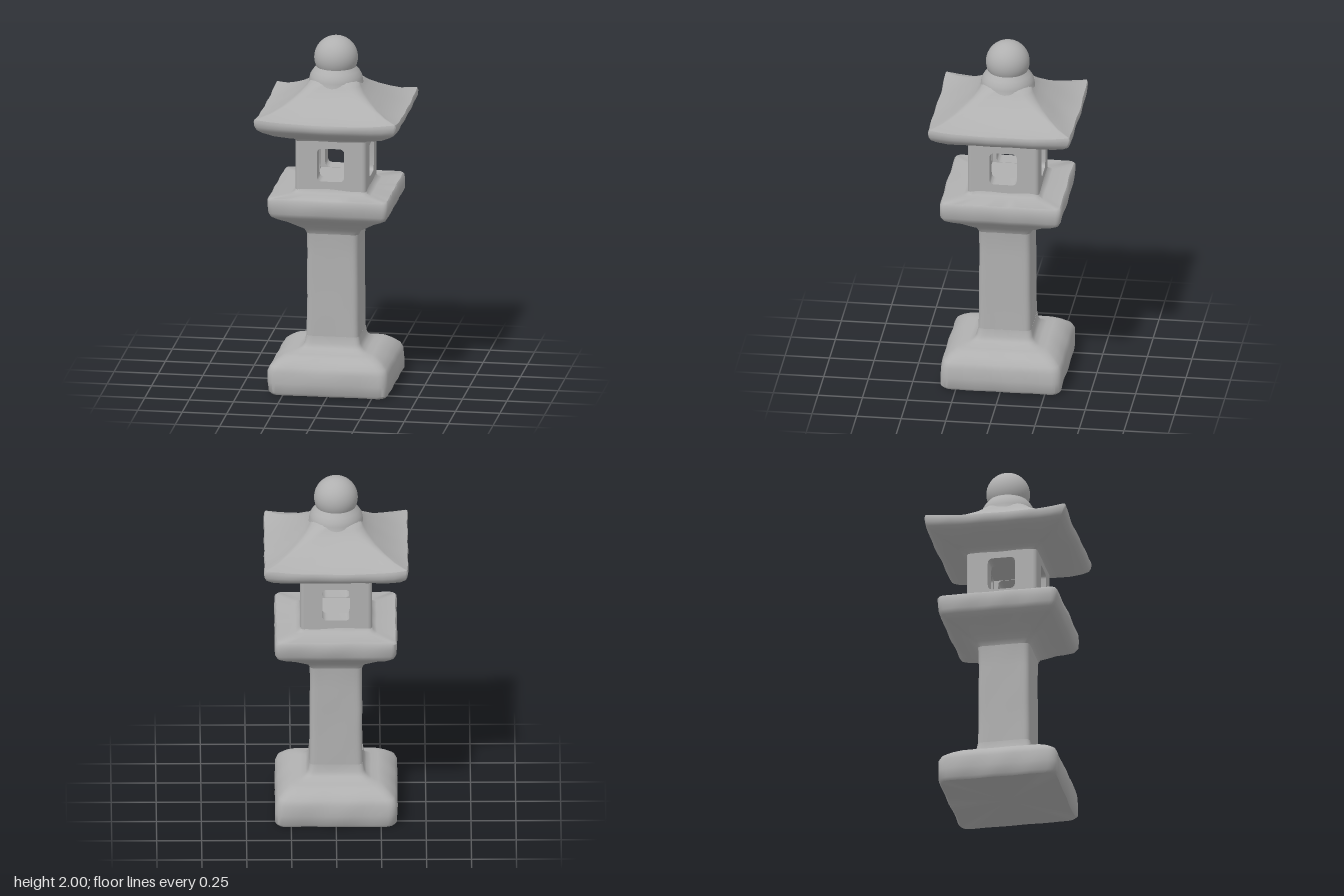
import * as THREE from 'three';
import { toCreasedNormals } from 'three/addons/utils/BufferGeometryUtils.js';

const stone = new THREE.MeshStandardMaterial({ color: 0xb0b0b0 });
stone.name = 'grey stone';

// Slight unevenness of hand-cut stone
const wobble = (x, y, z) => 1 + 0.006 * (Math.sin(23 * x + 17 * y + 1) + Math.sin(29 * z - 19 * y + 11 * x));

// One rounded-square ring; lift raises it towards the corners
function ring(h, y, r, lift = 0) {
  const pts = [], e = h - r, n = 12, arc = 4;
  for (let k = 0; k < 4; k++) {
    const c = Math.cos(k * Math.PI / 2), s = Math.sin(k * Math.PI / 2);
    const add = (u, v) => {
      const x = u * c - v * s, z = -(u * s + v * c), w = wobble(x, y, z);
      pts.push([x * w, y + lift * Math.abs(v / h) ** 3, z * w]);
    };
    for (let i = 0; i <= n; i++) add(h, e * (2 * i / n - 1));
    for (let i = 1; i < arc; i++) {
      const a = i / arc * Math.PI / 2;
      add(e + r * Math.cos(a), e + r * Math.sin(a));
    }
  }
  return pts;
}

// Closed solid through rings given as [half width, y, corner radius, lift]
function loft(rows) {
  const rings = rows.map(row => ring(...row)), n = rings[0].length;
  const pos = rings.flat(2), index = [], last = rings.length - 1;
  for (let j = 0; j < last; j++) for (let i = 0; i < n; i++) {
    const a = j * n + i, b = j * n + (i + 1) % n;
    index.push(a, b, b + n, a, b + n, a + n);
  }
  const bottom = pos.length / 3, top = bottom + 1;
  pos.push(0, rows[0][1], 0, 0, rows[last][1], 0);
  for (let i = 0; i < n; i++) {
    const k = (i + 1) % n;
    index.push(bottom, k, i, top, last * n + i, last * n + k);
  }
  const g = new THREE.BufferGeometry();
  g.setAttribute('position', new THREE.Float32BufferAttribute(pos, 3));
  g.setIndex(index);
  return toCreasedNormals(g, 0.85);
}

// Chamber wall with a rounded window, mitred at its ends
function wallGeometry() {
  const w = 0.177, y0 = 1.13, y1 = 1.47, t = 0.1;
  const s = new THREE.Shape();
  s.moveTo(-w, y0).lineTo(w, y0).lineTo(w, y1).lineTo(-w, y1).closePath();
  const a = 0.077, b = 1.21, c = 1.4, r = 0.03, p = new THREE.Path();
  p.moveTo(-a + r, b).lineTo(a - r, b).quadraticCurveTo(a, b, a, b + r);
  p.lineTo(a, c - r).quadraticCurveTo(a, c, a - r, c);
  p.lineTo(-a + r, c).quadraticCurveTo(-a, c, -a, c - r);
  p.lineTo(-a, b + r).quadraticCurveTo(-a, b, -a + r, b);
  s.holes.push(p);
  const g = new THREE.ExtrudeGeometry(s, { depth: t, bevelEnabled: false, curveSegments: 6 });
  const q = g.attributes.position;
  for (let i = 0; i < q.count; i++) {
    const x = q.getX(i);
    if (Math.abs(x) > 0.15 && q.getZ(i) < 0.01) q.setX(i, Math.sign(x) * 0.1);
  }
  g.translate(0, 0, 0.1);
  return toCreasedNormals(g, 0.6);
}

export function createModel() {
  const model = new THREE.Group();
  model.name = 'stoneLantern';
  const add = (name, geometry, parent = model) => {
    const m = new THREE.Mesh(geometry, stone);
    m.name = name;
    parent.add(m);
    return m;
  };

  add('base', loft([
    [0.325, 0, 0.05], [0.337, 0.015, 0.05], [0.34, 0.07, 0.05], [0.338, 0.13, 0.05],
    [0.325, 0.16, 0.05], [0.295, 0.187, 0.05], [0.262, 0.209, 0.05], [0.235, 0.217, 0.05],
    [0.195, 0.223, 0.04], [0.168, 0.237, 0.035], [0.155, 0.26, 0.03], [0.149, 0.3, 0.03],
  ]));
  add('shaft', loft([
    [0.149, 0.28, 0.03], [0.147, 0.4, 0.03], [0.145, 0.52, 0.03], [0.145, 0.64, 0.03],
    [0.145, 0.76, 0.03], [0.146, 0.88, 0.03], [0.15, 0.91, 0.03],
  ]));
  add('platform', loft([
    [0.147, 0.89, 0.03], [0.16, 0.918, 0.03], [0.2, 0.945, 0.03], [0.25, 0.98, 0.03],
    [0.295, 1.004, 0.03], [0.325, 1.025, 0.03], [0.338, 1.05, 0.03], [0.34, 1.09, 0.03],
    [0.339, 1.125, 0.03], [0.33, 1.136, 0.03], [0.225, 1.137, 0.03], [0.207, 1.145, 0.03],
    [0.197, 1.17, 0.03],
  ]));

  // Hollow light chamber
  const chamber = new THREE.Group();
  chamber.name = 'lightChamber';
  model.add(chamber);
  const wall = wallGeometry();
  const post = new THREE.CylinderGeometry(0.024, 0.024, 0.34, 16);
  for (let k = 0; k < 4; k++) {
    const side = new THREE.Group();
    side.name = 'chamberSide';
    side.rotation.y = k * Math.PI / 2;
    chamber.add(side);
    add('windowWall', wall, side);
    add('roundedCorner', post, side).position.set(0.176, 1.3, 0.176);
  }
  add('chamberFloor', new THREE.BoxGeometry(0.22, 0.08, 0.22), chamber).position.y = 1.168;
  add('chamberCeiling', new THREE.BoxGeometry(0.22, 0.08, 0.22), chamber).position.y = 1.442;

  // Flared roof with raised corners
  add('roof', loft([
    [0.196, 1.435, 0.025], [0.207, 1.452, 0.025], [0.24, 1.464, 0.02], [0.31, 1.492, 0.02],
    [0.365, 1.518, 0.015, 0.006], [0.39, 1.534, 0.015, 0.01], [0.4, 1.553, 0.015, 0.014],
    [0.402, 1.575, 0.012, 0.02], [0.397, 1.587, 0.012, 0.022], [0.375, 1.592, 0.012, 0.02],
    [0.325, 1.611, 0.015, 0.012], [0.27, 1.642, 0.02, 0.006], [0.22, 1.676, 0.03],
    [0.175, 1.709, 0.05], [0.148, 1.738, 0.07], [0.13, 1.765, 0.09],
  ]));

  // Collar and ball on top
  const collar = [[0.165, 1.7], [0.152, 1.735], [0.149, 1.758], [0.144, 1.78], [0.13, 1.803], [0.117, 1.818], [0.105, 1.835]];
  add('finialCollar', new THREE.LatheGeometry(collar.map(p => new THREE.Vector2(...p)), 40));
  add('finialBall', new THREE.SphereGeometry(0.122, 40, 24)).position.y = 1.878;

  return model;
}
